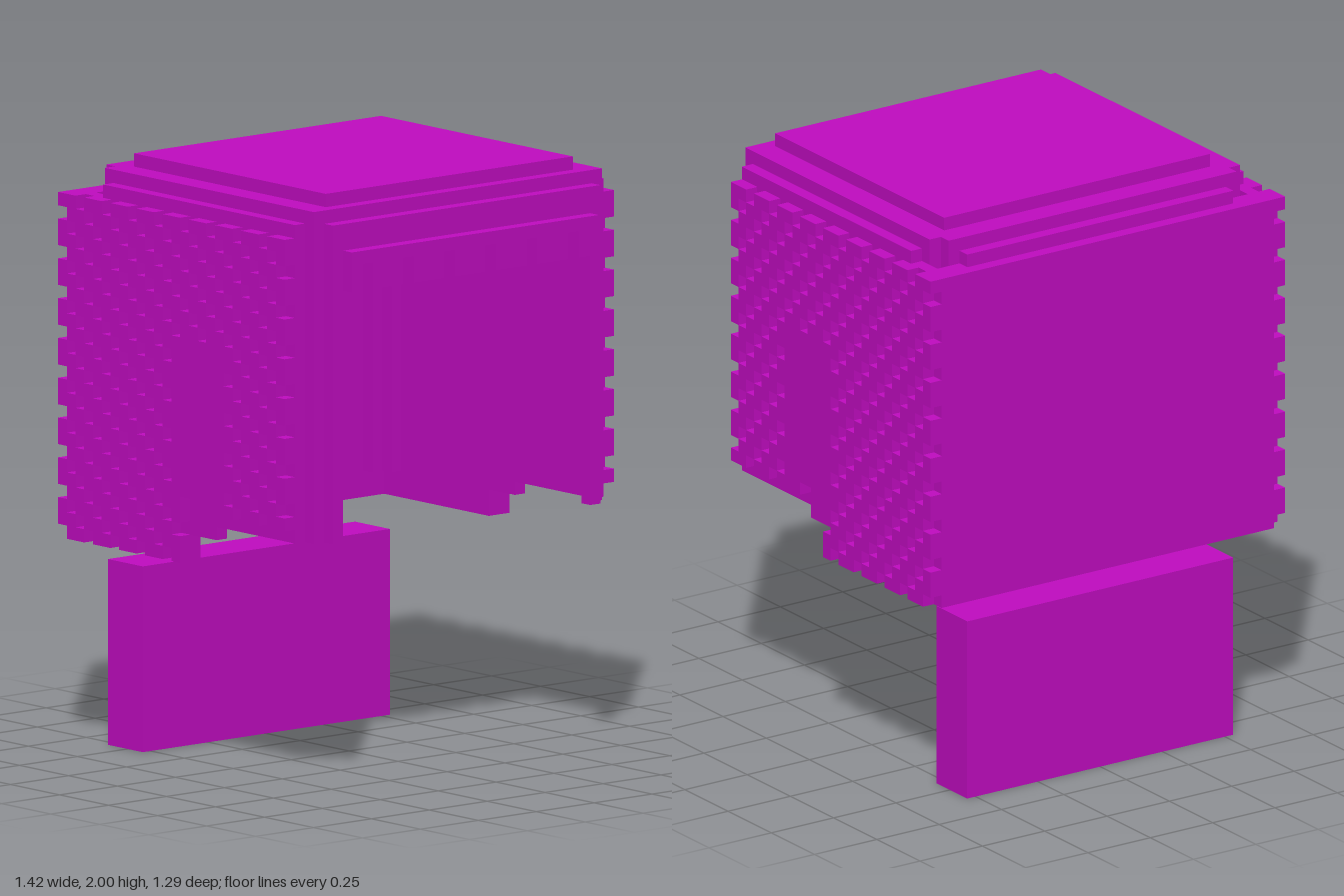
import * as THREE from 'three';
import { mergeGeometries } from 'three/addons/utils/BufferGeometryUtils.js';

// One block is 1/45 of the full height.
const U = 2 / 45;

const block = (x0, x1, y0, y1, z0, z1) =>
  new THREE.BoxGeometry((x1 - x0) * U, (y1 - y0) * U, (z1 - z0) * U)
    .translate((x0 + x1) * U / 2, (y0 + y1) * U / 2, (z0 + z1) * U / 2);

// The same block on the left (+x) or right (-x) side.
const sided = (s, x0, x1, ...rest) => s > 0 ? block(x0, x1, ...rest) : block(-x1, -x0, ...rest);

// Knobbly outer layer: vertical runs of blocks broken by a diagonal of pits.
function knobs(s) {
  const list = [];
  for (let j = 0; j < 26; j++) {
    const z = 10.5 - j;
    const bottom = j < 9 ? 20 : j < 12 ? 21 : 16;
    let start = null;
    for (let y = bottom; y <= 42; y++) {
      const smooth = j >= 7 && j <= 12 && y >= 20 && y < 33; // flat patch over the ear
      const filled = y < 42 && (smooth || (y - j + 30) % 3 !== 0);
      if (filled && start === null) start = y;
      if (!filled && start !== null) {
        list.push(sided(s, 15, 16, start, y, z, z + 1));
        start = null;
      }
    }
  }
  return mergeGeometries(list);
}

export function createModel() {
  const group = new THREE.Group();
  const magenta = new THREE.MeshStandardMaterial({ color: 0xc00cc0 });
  magenta.name = 'magenta';
  const add = (name, ...geometries) => {
    const mesh = new THREE.Mesh(mergeGeometries(geometries), magenta);
    mesh.name = name;
    group.add(mesh);
  };

  // Separate lower slab
  add('lowerSlab', block(-12, 12, 0, 14, -13.5, -9.5));

  // Stepped crown, an open shell one block thick
  add('crownTop', block(-12, 12, 44, 45, -10.5, 11.5));
  add('crownUpperStep',
    block(-14, -12, 43, 44, -11.5, 12.5),
    block(12, 14, 43, 44, -11.5, 12.5),
    block(-12, 12, 43, 44, 11.5, 12.5),
    block(-12, 12, 43, 44, -11.5, -10.5),
    block(-13, 13, 43, 44, -12.5, -11.5));
  add('crownLowerStep',
    block(-13, 13, 40, 43, 12.5, 13.5),
    block(-12, 12, 42, 43, -13.5, -12.5));

  // Back panel
  add('backPanel', block(-15, 15, 16, 42, -14.5, -12.5));

  // Fringe: a bar with teeth, gaps every four blocks
  const fringe = [block(-12, 12, 40, 41, 13.5, 14.5)];
  let left = -12;
  for (let gap = -11; gap <= 9; gap += 4) {
    fringe.push(block(left, gap, 38, 40, 13.5, 14.5));
    left = gap + 1;
  }
  fringe.push(block(left, 12, 38, 40, 13.5, 14.5));
  add('fringe', ...fringe);

  for (const s of [1, -1]) {
    const side = s > 0 ? 'left' : 'right';
    // Side wall with its stepped lower edge
    add(side + 'Wall',
      sided(s, 14, 15, 19, 43, 2.5, 11.5),
      sided(s, 14, 15, 18, 43, -0.5, 2.5),
      sided(s, 14, 15, 16, 43, -10.5, -0.5),
      sided(s, 14, 15, 16, 42, -12.5, -10.5));
    add(side + 'Knobs', knobs(s));
    // Stepped corner posts
    add(side + 'FrontPosts',
      sided(s, 12, 13, 19, 40, 12.5, 13.5),
      sided(s, 13, 14, 19, 43, 11.5, 12.5));
    add(side + 'BackPosts',
      sided(s, 12, 13, 18, 43, -12.5, -11.5),
      sided(s, 13, 14, 18, 43, -11.5, -10.5));
  }
  return group;
}
